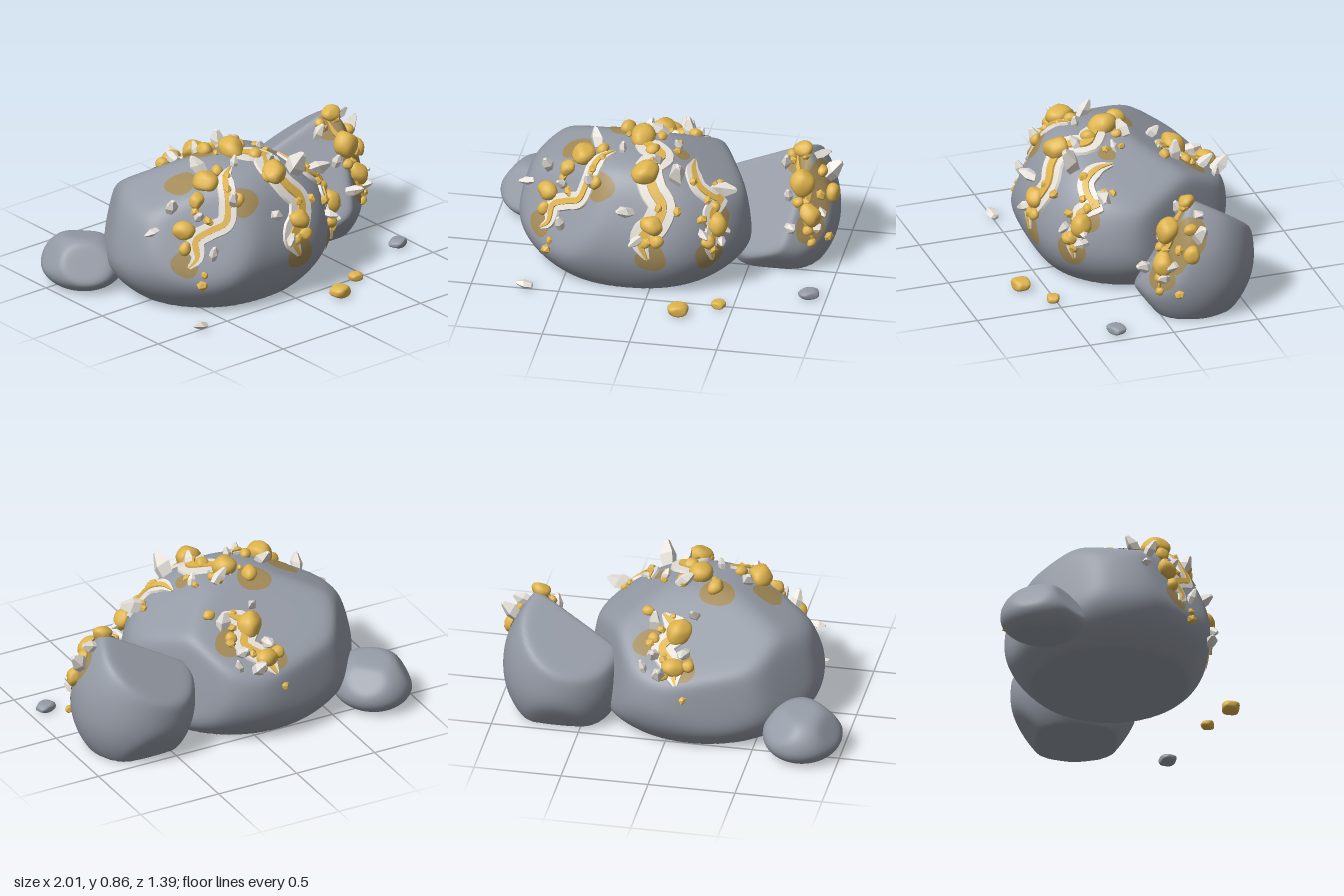
import * as THREE from 'three';
import { mergeVertices, toCreasedNormals } from 'three/addons/utils/BufferGeometryUtils.js';

const V = (x, y, z) => new THREE.Vector3(x, y, z);
const UP = V(0, 1, 0);
let seed = 7;
const rand = (a = 0, b = 1) => {
  seed = (seed * 16807) % 2147483647;
  return a + (b - a) * (seed / 2147483647);
};

const mat = (name, color, side = THREE.FrontSide) => {
  const m = new THREE.MeshStandardMaterial({ color, side });
  m.name = name;
  return m;
};

// A softly faceted boulder: an ellipsoid (with its own lower height) trimmed by planes [normal, point]
function makeRock(center, [rx, ry, rz, low = ry], planes, sharp = 26) {
  const c = V(...center);
  const cuts = planes.map(([n, p]) => {
    const normal = V(...n).normalize();
    return normal.divideScalar(normal.dot(V(...p).sub(c)));
  });
  const gauge = (d) => {
    let s = Math.hypot(d.x / rx, d.y / (d.y < 0 ? low : ry), d.z / rz) ** sharp;
    for (const n of cuts) s += Math.max(0, n.dot(d)) ** sharp;
    return s ** (1 / sharp);
  };
  const project = (p) => {
    const d = p.clone().sub(c);
    return d.divideScalar(gauge(d)).add(c);
  };
  const gradient = (p) => {
    const d = p.clone().sub(c), e = 0.004;
    const slope = (a) => (gauge(d.clone().add(a)) - gauge(d.clone().sub(a))) / (2 * e);
    return V(slope(V(e, 0, 0)), slope(V(0, e, 0)), slope(V(0, 0, e)));
  };
  const normal = (p) => gradient(p).normalize();
  // Moves a point onto the surface along the axis the surface faces most
  const snap = (x, y, z) => {
    const p = V(x, y, z), n = normal(project(p)).toArray().map(Math.abs);
    const axis = n.indexOf(Math.max(...n));
    for (let i = 0; i < 6; i++) {
      const step = (1 - gauge(p.clone().sub(c))) / gradient(p).getComponent(axis);
      p.setComponent(axis, p.getComponent(axis) + THREE.MathUtils.clamp(step, -0.08, 0.08));
    }
    return project(p);
  };
  const geometry = (detail, floor = -Infinity) => {
    let g = new THREE.IcosahedronGeometry(1, detail);
    g.deleteAttribute('uv');
    g.deleteAttribute('normal');
    g = mergeVertices(g);
    const pos = g.attributes.position;
    for (let i = 0; i < pos.count; i++) {
      const p = project(V(0, 0, 0).fromBufferAttribute(pos, i).add(c));
      pos.setXYZ(i, p.x, Math.max(p.y, floor), p.z);
    }
    g.computeVertexNormals();
    return g;
  };
  return { project, normal, snap, geometry };
}

// Grid of points to an indexed surface
function gridGeometry(rows) {
  const n = rows[0].length, index = [];
  for (let i = 0; i < rows.length - 1; i++)
    for (let j = 0; j < n - 1; j++) {
      const a = i * n + j;
      index.push(a, a + 1, a + n, a + 1, a + n + 1, a + n);
    }
  const g = new THREE.BufferGeometry().setFromPoints(rows.flat());
  g.setIndex(index);
  g.computeVertexNormals();
  return g;
}

// Raised ribbon that follows the rock surface and tapers at both ends
function veinGeometry(rock, path, half, height) {
  const curve = new THREE.CatmullRomCurve3(path.map((p) => rock.snap(...p)));
  const profile = [[-1, -0.008], [-0.88, height], [0.88, height], [1, -0.008]];
  const rows = [], steps = 60;
  for (let i = 0; i <= steps; i++) {
    const t = i / steps;
    const p = rock.project(curve.getPointAt(t)), n = rock.normal(p);
    const side = curve.getTangentAt(t).cross(n).normalize();
    const w = half * (0.2 + 0.8 * Math.min(1, Math.sin(Math.PI * t) * 2));
    rows.push(profile.map(([s, h]) => rock.project(p.clone().addScaledVector(side, s * w)).addScaledVector(n, h)));
  }
  return toCreasedNormals(gridGeometry(rows), 0.5);
}

// Thin blotch draped on the rock
function stainGeometry(rock, [x, y, z, radius], lift) {
  const p = rock.snap(x, y, z), n = rock.normal(p);
  const u = V(0.3, 0.2, 0.9).cross(n).normalize(), v = n.clone().cross(u);
  const rows = [], phase = rand(0, 6);
  for (let k = 0; k <= 32; k++) {
    const a = (k / 32) * Math.PI * 2, r = radius * (1 + 0.07 * Math.sin(3 * a + phase));
    rows.push([0, 1, 2, 3, 4, 5].map((j) => {
      const q = rock.project(p.clone().addScaledVector(u, Math.cos(a) * r * j / 5).addScaledVector(v, Math.sin(a) * r * j / 5));
      return q.addScaledVector(rock.normal(q), lift);
    }));
  }
  return gridGeometry(rows);
}

// Lumpy nugget of unit radius
function nuggetGeometry(detail) {
  const planes = [];
  for (let i = 0; i < 9; i++) {
    const n = V(rand(-1, 1), rand(-1, 1), rand(-1, 1)).normalize();
    planes.push([n.toArray(), n.clone().multiplyScalar(rand(0.82, 0.98)).toArray()]);
  }
  return makeRock([0, 0, 0], [1.06, 1.06, 1.06], planes, 14).geometry(detail);
}

// Chunky pointed shard with flat sides
function crystalGeometry(sides) {
  const profile = [[0, -0.7], [0.42, -0.6], [0.56, 0.15], [0.2, 0.85], [0, 0.95]];
  const g = new THREE.LatheGeometry(profile.map((p) => new THREE.Vector2(...p)), sides);
  g.applyMatrix4(new THREE.Matrix4().set(1, 0.25, 0, 0, 0, 1, 0.2, 0, 0, -0.15, 0.8, 0, 0, 0, 0, 1));
  return toCreasedNormals(g, 0.2);
}

export function createModel() {
  const root = new THREE.Group();
  root.name = 'goldOreRocks';
  const stone = mat('stone', 0x959ba6), gold = mat('gold', 0xdfb44e);
  const quartz = mat('quartz', 0xe6e1da), stain = mat('ochreStain', 0xa28a58, THREE.DoubleSide);
  const add = (name, geometry, material) => {
    const m = new THREE.Mesh(geometry, material);
    m.name = name;
    root.add(m);
    return m;
  };

  // Boulders
  const main = makeRock([-0.14, 0.3, -0.05], [0.69, 0.54, 0.61, 0.44], [
    [[0, 1, 0.04], [-0.1, 0.775, 0.1]], [[0.5, 0.86, 0], [0.2, 0.69, 0]],
    [[-0.4, 0.9, 0.05], [-0.55, 0.66, 0]], [[-0.95, 0.25, 0.05], [-0.81, 0.38, 0]],
    [[-0.8, 0.2, -0.57], [-0.68, 0.3, -0.36]], [[-0.26, 0.1, -0.97], [-0.25, 0.3, -0.61]],
    [[0.88, 0.1, -0.46], [0.35, 0.3, -0.33]], [[0, 0.86, -0.51], [-0.1, 0.61, -0.34]],
    [[0, 0.36, 0.93], [0, 0.53, 0.46]], [[0.78, 0.15, 0.6], [0.43, 0.3, 0.36]],
    [[-0.55, 0.42, 0.72], [-0.56, 0.38, 0.33]], [[0.97, 0.15, 0.15], [0.535, 0.3, 0.15]],
    [[0, 0, 1], [0, 0.3, 0.52]], [[0, -0.45, 0.9], [0, 0.1, 0.465]],
  ]);
  const side = makeRock([0.63, 0.28, -0.22], [0.35, 0.5, 0.365, 0.42], [
    [[-0.45, 0.5, 0.74], [0.75, 0.67, -0.17]], [[-0.3, 0.8, -0.5], [0.75, 0.69, -0.19]],
    [[0.85, 0.45, 0.1], [0.94, 0.5, -0.15]], [[-0.91, 0, 0.4], [0.38, 0.2, -0.1]],
    [[0, -0.6, 0.8], [0.65, 0.1, 0.09]], [[0, -0.6, -0.8], [0.65, 0.1, -0.52]],
    [[0.5, 0.3, 0.8], [0.84, 0.37, -0.01]],
  ]);
  const small = makeRock([-0.78, 0.11, -0.45], [0.225, 0.19, 0.245, 0.14], [
    [[-0.5, 0.5, 0.7], [-0.9, 0.17, -0.32]], [[0.1, 1, -0.1], [-0.8, 0.28, -0.5]],
    [[0.5, 0.7, -0.5], [-0.66, 0.21, -0.57]], [[-0.8, 0.5, -0.3], [-0.95, 0.2, -0.5]],
  ]);
  add('mainBoulder', main.geometry(34, 0), stone);
  add('sideBoulder', side.geometry(28, 0), stone);
  add('smallBoulder', small.geometry(18, 0), stone);

  // Quartz veins with a gold core: [rock, half width, path]; the last seam has gold only
  const veins = [
    [main, 0.055, [[-0.63, 0.3, 0.3], [-0.58, 0.35, 0.32], [-0.56, 0.44, 0.3], [-0.48, 0.49, 0.35], [-0.4, 0.53, 0.36], [-0.36, 0.62, 0.31], [-0.3, 0.69, 0.24], [-0.23, 0.74, 0.2]]],
    [main, 0.085, [[-0.12, 0.77, -0.02], [-0.07, 0.77, 0.1], [0.03, 0.75, 0.19], [-0.02, 0.71, 0.29], [0.02, 0.65, 0.37], [0.08, 0.57, 0.42], [0.05, 0.47, 0.47], [-0.03, 0.38, 0.5], [0.01, 0.27, 0.51]]],
    [main, 0.055, [[0.2, 0.69, 0.09], [0.21, 0.68, 0.19], [0.26, 0.64, 0.27], [0.35, 0.59, 0.26], [0.42, 0.55, 0.23], [0.4, 0.49, 0.33], [0.36, 0.44, 0.41], [0.43, 0.38, 0.36], [0.43, 0.31, 0.38], [0.35, 0.23, 0.42]]],
    [main, 0.07, [[-0.08, 0.43, -0.58], [-0.04, 0.52, -0.52], [0.03, 0.57, -0.43], [-0.04, 0.62, -0.33], [0.06, 0.67, -0.24]]],
    [side, 0.04, [[0.76, 0.66, -0.17], [0.78, 0.58, -0.11], [0.83, 0.48, -0.05], [0.81, 0.38, 0], [0.86, 0.22, 0]]],
  ];
  for (const [rock, half, path] of veins) {
    if (rock === main) add('quartzVein', veinGeometry(rock, path, half, 0.014), quartz);
    add('goldVein', veinGeometry(rock, path, half * 0.35, 0.021), gold);
  }

  // Ochre stains: x, y, z, radius
  const stains = [
    [main, [[-0.64, 0.32, 0.28, 0.08], [-0.48, 0.7, 0.06, 0.09], [-0.28, 0.63, 0.31, 0.085], [0.03, 0.27, 0.51, 0.09], [-0.22, 0.76, -0.08, 0.1],
      [0.34, 0.26, 0.43, 0.09], [0.43, 0.47, 0.31, 0.09], [0.11, 0.62, -0.41, 0.09], [-0.08, 0.5, -0.53, 0.1], [0.13, 0.72, 0.1, 0.05]]],
    [side, [[0.77, 0.63, -0.14, 0.09], [0.87, 0.54, -0.13, 0.11], [0.87, 0.42, -0.07, 0.11], [0.85, 0.28, 0, 0.09]]],
  ];
  for (const [rock, list] of stains)
    list.forEach((s, i) => add('ochreStain', stainGeometry(rock, s, 0.004 + i * 0.0004), stain));

  // Gold nuggets: x, y, z, radius
  const nuggets = [
    [main, [[-0.6, 0.49, 0.25, 0.06], [-0.62, 0.4, 0.27, 0.038], [-0.4, 0.7, 0.19, 0.075], [-0.49, 0.64, 0.22, 0.045], [-0.3, 0.71, 0.17, 0.036], [-0.31, 0.64, 0.3, 0.04],
      [-0.1, 0.77, 0.05, 0.075], [-0.03, 0.73, 0.33, 0.076], [-0.2, 0.76, -0.06, 0.05], [0.03, 0.47, 0.48, 0.062], [-0.02, 0.77, 0.16, 0.042], [0, 0.77, 0, 0.03],
      [0.06, 0.38, 0.5, 0.04], [0, 0.37, 0.5, 0.032], [-0.08, 0.7, 0.34, 0.035], [0.37, 0.43, 0.39, 0.064], [0.41, 0.34, 0.39, 0.04], [0.34, 0.35, 0.43, 0.036], [0.42, 0.52, 0.29, 0.03],
      [-0.05, 0.62, -0.34, 0.075], [-0.05, 0.5, -0.54, 0.062], [0.09, 0.64, -0.38, 0.034], [0.15, 0.63, -0.23, 0.034], [-0.13, 0.52, -0.52, 0.042], [0, 0.46, -0.58, 0.034]]],
    [side, [[0.79, 0.64, -0.16, 0.052], [0.8, 0.53, -0.08, 0.075], [0.84, 0.36, -0.03, 0.066], [0.9, 0.44, -0.13, 0.05],
      [0.72, 0.64, -0.17, 0.03], [0.78, 0.43, 0, 0.032], [0.84, 0.27, 0, 0.032], [0.86, 0.2, 0, 0.026], [0.86, 0.57, -0.14, 0.036]]],
  ];
  const placeOn = (mesh, rock, x, y, z, lift, tilt) => {
    const p = rock.snap(x, y, z), n = rock.normal(p);
    mesh.position.copy(p).addScaledVector(n, lift);
    const dir = n.add(V(rand(-tilt, tilt), rand(-tilt, tilt), rand(-tilt, tilt))).normalize();
    mesh.quaternion.setFromUnitVectors(UP, dir);
    mesh.rotateY(rand(0, 6));
  };
  for (const [rock, list] of nuggets)
    for (const [x, y, z, r] of list) {
      const m = add('goldNugget', nuggetGeometry(3), gold);
      placeOn(m, rock, x, y, z, r * 0.35, 0.2);
      m.scale.set(r * 1.08, r * 0.8, r * 0.92);
    }

  // Gold crumbs scattered along the veins
  for (const [rock, half, path] of veins)
    for (let i = 0; i < 7; i++) {
      const [x, y, z] = path[i % path.length], s = half + 0.05, r = rand(0.018, 0.03);
      const m = add('goldCrumb', toCreasedNormals(nuggetGeometry(0), 0.2), gold);
      placeOn(m, rock, x + rand(-s, s), y + rand(-s, s), z + rand(-s, s), r * 0.4, 0.3);
      m.scale.set(r * 1.2, r, r);
    }

  // Quartz crystals: x, y, z, length
  const crystals = [
    [main, [[-0.35, 0.76, 0.07, 0.075], [-0.61, 0.6, 0.2, 0.07], [-0.5, 0.37, 0.38, 0.06], [-0.73, 0.48, 0.2, 0.055], [-0.33, 0.64, 0.32, 0.07], [-0.51, 0.56, 0.33, 0.06],
      [0.13, 0.7, 0.3, 0.11], [-0.12, 0.53, 0.46, 0.07], [-0.05, 0.38, 0.5, 0.06], [0.02, 0.76, 0.24, 0.06], [-0.02, 0.76, -0.04, 0.07], [0.1, 0.74, 0.05, 0.045],
      [0.37, 0.6, 0.2, 0.09], [0.46, 0.42, 0.32, 0.07], [0.47, 0.33, 0.33, 0.055], [0.3, 0.4, 0.45, 0.055], [-0.19, 0.76, 0.18, 0.05],
      [0.07, 0.58, -0.48, 0.075], [0.1, 0.66, -0.3, 0.08], [0.02, 0.47, -0.58, 0.085], [-0.1, 0.58, -0.46, 0.07], [-0.12, 0.68, -0.24, 0.06], [0.12, 0.53, -0.54, 0.05]]],
    [side, [[0.92, 0.54, -0.18, 0.09], [0.7, 0.6, -0.1, 0.065], [0.75, 0.3, 0.08, 0.07], [0.84, 0.64, -0.19, 0.065],
      [0.88, 0.28, 0, 0.06], [0.73, 0.45, 0.02, 0.055], [0.9, 0.36, -0.06, 0.055]]],
  ];
  for (const [rock, list] of crystals)
    list.forEach(([x, y, z, r], i) => {
      const m = add('quartzCrystal', crystalGeometry(4 + (i % 3)), quartz);
      placeOn(m, rock, x, y, z, r * 0.35, 0.7);
      m.scale.setScalar(r);
    });

  // Loose pebbles on the ground
  const pebble = (name, material, [x, z], [w, h, d], turn) => {
    const planes = [];
    for (const s of [-1, 1])
      for (const n of [[s, 0, 0.12], [0, s, 0], [0.15, 0, s], [s, 0.5, s], [s, -0.4, -s], [s, 1, 0], [s, -1, 0]])
        planes.push([n, V(...n).multiplyScalar(Math.hypot(...n) > 1.2 ? 0.72 : 0.95).toArray()]);
    const m = add(name, makeRock([0, 0, 0], [1.2, 1.2, 1.2], planes, 14).geometry(7), material);
    m.position.set(x, h, z);
    m.scale.set(w, h, d);
    m.rotation.y = turn;
  };
  pebble('goldPebble', gold, [0.21, 0.64], [0.06, 0.035, 0.05], 0.1);
  pebble('goldPebble', gold, [0.42, 0.52], [0.042, 0.024, 0.036], -0.3);
  pebble('stonePebble', stone, [0.9, 0.31], [0.06, 0.026, 0.044], 0.4);
  const shard = add('quartzPebble', crystalGeometry(5), quartz);
  shard.position.set(-0.69, 0.028, 0.5);
  shard.rotation.set(0, 0.3, Math.PI / 2);
  shard.scale.set(0.045, 0.06, 0.075);

  return root;
}
